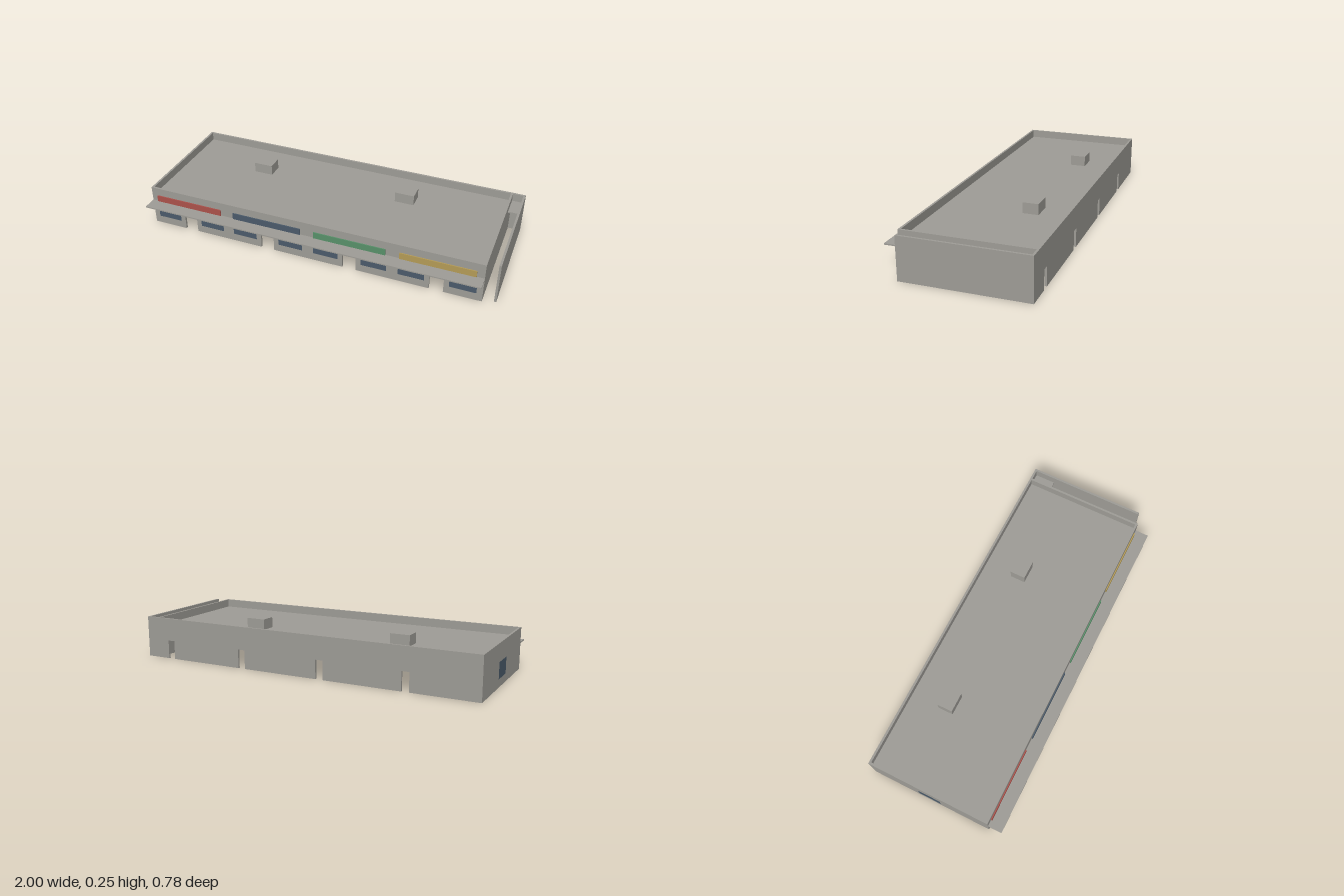
import * as THREE from 'three';

const mat = (name, color) => {
  const m = new THREE.MeshStandardMaterial({ color });
  m.name = name;
  return m;
};

export function createModel() {
  const concrete = mat('concrete grey', 0x9f9d97);
  const glass = mat('slate blue', 0x4b5b6b);
  const red = mat('sign red', 0xad524b);
  const green = mat('sign green', 0x58916a);
  const yellow = mat('sign yellow', 0xb59c57);

  const model = new THREE.Group();
  model.name = 'shopRow';

  const H = 0.234, T = 0.012;               // wall height and thickness
  const L = -1, R = 0.93, B = -0.39, F = 0.312; // building footprint
  const BAY = 0.4825;                       // spacing of the four shops
  const ROOF = 0.188;

  const add = (name, geometry, material) => {
    const mesh = new THREE.Mesh(geometry, material);
    mesh.name = name;
    model.add(mesh);
    return mesh;
  };

  // Box given by its lower and upper limits
  const block = (name, material, x0, x1, y0, y1, z0, z1) => {
    const mesh = add(name, new THREE.BoxGeometry(x1 - x0, y1 - y0, z1 - z0), material);
    mesh.position.set((x0 + x1) / 2, (y0 + y1) / 2, (z0 + z1) / 2);
    return mesh;
  };

  // Upright wall with doorways open at the ground and rectangular window holes
  const wall = (name, u0, u1, doors, windows) => {
    const s = new THREE.Shape();
    s.moveTo(u0, 0);
    for (const d of doors) {
      s.lineTo(d.u - d.w / 2, 0);
      s.lineTo(d.u - d.w / 2, d.h);
      s.lineTo(d.u + d.w / 2, d.h);
      s.lineTo(d.u + d.w / 2, 0);
    }
    s.lineTo(u1, 0);
    s.lineTo(u1, H);
    s.lineTo(u0, H);
    s.closePath();
    for (const w of windows) {
      const p = new THREE.Path();
      p.moveTo(w[0], w[2]);
      p.lineTo(w[0], w[3]);
      p.lineTo(w[1], w[3]);
      p.lineTo(w[1], w[2]);
      p.closePath();
      s.holes.push(p);
    }
    return add(name, new THREE.ExtrudeGeometry(s, { depth: T, bevelEnabled: false }), concrete);
  };

  // Shop front: a door between two windows in each bay
  const frontDoors = [], frontWindows = [], backDoors = [];
  const W0 = 0.044, W1 = 0.134;
  for (let i = 0; i < 4; i++) {
    const x = -0.76 + i * BAY;
    frontDoors.push({ u: x, w: 0.077, h: 0.106 });
    for (const side of [-1, 1]) {
      const c = x + side * 0.138;
      frontWindows.push([c - 0.0715, c + 0.0715, W0, W1]);
    }
    backDoors.push({ u: -0.612 + i * BAY, w: 0.042, h: 0.105 });
  }
  wall('frontWall', L, R, frontDoors, frontWindows).position.z = F - T;
  for (const w of frontWindows) block('frontWindow', glass, w[0], w[1], w[2], w[3], F - T, F);

  // Back wall with narrow service doors, running on behind the side yard
  wall('backWall', L, 1, backDoors, []).position.z = B;

  // Side wall with one window (the wall's own axis runs along -z)
  const sideWindow = [-0.023, 0.108, W0, W1];
  const sideWall = wall('rightWall', -F + T, -B - T, [], [sideWindow]);
  sideWall.rotation.y = Math.PI / 2;
  sideWall.position.x = L;
  block('sideWindow', glass, L, L + T, W0, W1, -sideWindow[1], -sideWindow[0]);
  block('leftWall', concrete, R - T, R, 0, H, B + T, F - T);

  // Roof behind the parapet, with two rooftop units
  block('roof', concrete, L + T, R - T, ROOF - 0.008, ROOF, B + T, F - T);
  for (const x of [-0.507, 0.369])
    block('roofUnit', concrete, x - 0.055, x + 0.055, ROOF, 0.247, -0.215, -0.128);

  // Side yard: free-standing screen wall and a small covered corner
  block('screenWall', concrete, 1 - T, 1, 0, H, B + T, 0.29);
  block('yardRoof', concrete, R, 1 - T, ROOF - 0.008, ROOF, B + T, -0.26);

  // Canopy along the front
  block('canopy', concrete, L, R, 0.144, 0.151, F, 0.39);

  // Coloured sign boards above the canopy
  [red, glass, green, yellow].forEach((m, i) => {
    const x = -0.762 + i * BAY;
    block('signBoard', m, x - 0.203, x + 0.203, 0.151, 0.188, F, F + 0.006);
  });

  return model;
}
